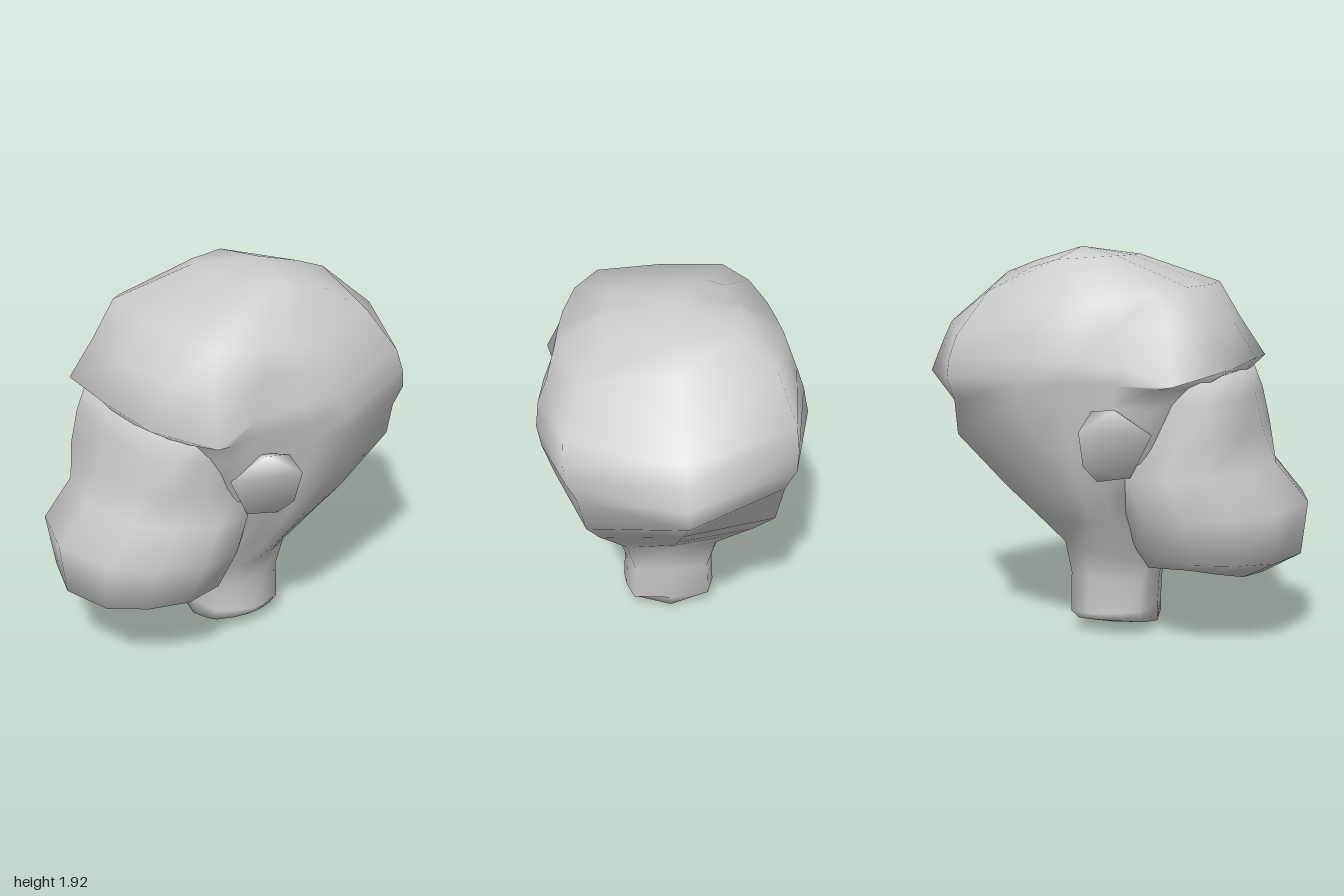
import * as THREE from 'three';
import { mergeVertices } from 'three/addons/utils/BufferGeometryUtils.js';
import { ConvexGeometry } from 'three/addons/geometries/ConvexGeometry.js';

const material = new THREE.MeshStandardMaterial({ color: 0xcccccc });

// Half outlines, front to back: [position along depth, share of half width, height offset]
const NECK_BASE = [[0, 0], [0.04, 0.5, 0.025], [0.1, 0.7, 0.035], [0.3, 0.9, 0.05], [0.5, 1, 0.06], [0.7, 0.97, 0.06], [0.95, 0.85, 0.06], [1, 0]];
const NECK = [[0, 0], [0.04, 0.5], [0.1, 0.7], [0.3, 0.9], [0.5, 1], [0.7, 0.97], [0.94, 0.82], [1, 0]];
const NAPE = [[0, 0], [0.05, 0.55], [0.15, 0.84], [0.28, 0.88], [0.42, 0.95], [0.54, 1], [0.92, 0.76], [1, 0]];
const OCCIPUT = [[0, 0], [0.05, 0.6], [0.15, 0.86], [0.27, 0.84], [0.42, 0.94], [0.54, 1], [0.78, 0.76, -0.06], [1, 0]];
const ORBIT = [[0, 0], [0.05, 0.6], [0.15, 0.87], [0.27, 0.84], [0.42, 0.94], [0.54, 1], [0.81, 0.81, -0.03], [1, 0]];
const BROW = [[0, 0], [0.02, 0.58, -0.02], [0.15, 0.92, -0.09], [0.3, 0.85, -0.03], [0.42, 0.95], [0.54, 1], [0.83, 0.84, -0.03], [1, 0]];
const SKULL = [[0, 0], [0.03, 0.57], [0.13, 0.8], [0.3, 0.87], [0.42, 0.95], [0.54, 1], [0.82, 0.89, -0.03], [1, 0]];
const CROWN = [[0, 0], [0.03, 0.58], [0.13, 0.8, -0.04], [0.3, 0.92, -0.07], [0.42, 0.97, -0.09], [0.54, 1, -0.1], [0.92, 0.83, -0.07], [1, 0]];
const CHIN = [[0, 0], [0.1, 0.57, 0.015], [0.31, 0.85, 0.04], [0.55, 1, 0.06], [0.8, 0.92, 0.05], [1, 0.6, 0.02], [1, 0]];
const MUZZLE = [[0, 0], [0.1, 0.57], [0.31, 0.85], [0.55, 1], [0.8, 0.93], [1, 0.6], [1, 0]];
const FACE = [[0, 0], [0.05, 0.66], [0.2, 0.92], [0.45, 1], [0.8, 0.95], [1, 0.6], [1, 0]];

// Closed skin over mirrored rings: [outline, half width, front z, front y, back z, back y]
function loft(name, rings, bottom, top) {
  const pos = [], index = [];
  for (const [outline, w, zF, yF, zB, yB] of rings) {
    const point = ([t, x, dy = 0], side) =>
      pos.push(side * x * w, yF + (yB - yF) * t + dy, zF + (zB - zF) * t);
    outline.forEach((p) => point(p, 1));
    outline.slice(1, -1).reverse().forEach((p) => point(p, -1));
  }
  const n = pos.length / 3 / rings.length;
  const last = (rings.length - 1) * n;
  const low = rings.length * n, high = low + 1;
  pos.push(0, ...bottom, 0, ...top);
  for (let j = 0; j < n; j++) {
    const k = (j + 1) % n;
    for (let r = 0; r < last; r += n) {
      index.push(r + j, r + k, r + n + k, r + j, r + n + k, r + n + j);
    }
    index.push(low, k, j, last + j, last + k, high);
  }
  const geometry = new THREE.BufferGeometry();
  geometry.setAttribute('position', new THREE.Float32BufferAttribute(pos, 3));
  geometry.setIndex(index);
  geometry.computeVertexNormals();
  const mesh = new THREE.Mesh(geometry, material);
  mesh.name = name;
  return mesh;
}

// Ear: a thin cup flaring outward toward its back rim
function ear(side, name) {
  const rim = [[0.51, 1.07, 0.36], [0.58, 1.19, 0.2], [0.61, 1.185, 0.1], [0.65, 1.09, 0.05],
    [0.6, 0.92, 0.055], [0.53, 0.84, 0.1], [0.49, 0.86, 0.25]];
  const root = [[0.44, 1.15, 0.2], [0.44, 1.05, 0.14], [0.44, 0.86, 0.14]];
  const points = [...rim, ...root].map(([x, y, z]) => new THREE.Vector3(side * x, y, z));
  let geometry = new ConvexGeometry(points);
  geometry.deleteAttribute('normal');
  geometry = mergeVertices(geometry);
  geometry.computeVertexNormals();
  const mesh = new THREE.Mesh(geometry, material);
  mesh.name = name;
  return mesh;
}

export function createModel() {
  const head = new THREE.Group();
  head.name = 'head';

  // Neck with a keeled cut, widening into the cranium, brow ridge and crown
  head.add(loft('skullAndNeck', [
    [NECK_BASE, 0.23, 0.24, 0.03, -0.13, 0.005],
    [NECK, 0.24, 0.24, 0.12, -0.18, 0.1],
    [NECK, 0.23, 0.25, 0.27, -0.18, 0.3],
    [NECK, 0.28, 0.27, 0.38, -0.2, 0.47],
    [NAPE, 0.4, 0.29, 0.6, -0.34, 0.61],
    [NAPE, 0.49, 0.34, 0.76, -0.49, 0.76],
    [NAPE, 0.58, 0.5, 0.96, -0.75, 1.02],
    [OCCIPUT, 0.63, 0.6, 1.17, -1, 1.27],
    [ORBIT, 0.65, 0.64, 1.28, -0.97, 1.34],
    [BROW, 0.635, 0.73, 1.39, -0.93, 1.43],
    [SKULL, 0.59, 0.62, 1.56, -0.88, 1.53],
    [CROWN, 0.54, 0.5, 1.74, -0.56, 1.79],
    [SKULL, 0.33, 0.1, 1.88, -0.4, 1.85],
  ], [0, 0], [1.92, -0.16]));

  // Muzzle and cheeks, rising to the flat eye region under the brow
  head.add(loft('face', [
    [CHIN, 0.32, 0.78, 0.33, 0.25, 0.335],
    [MUZZLE, 0.44, 0.97, 0.44, 0.21, 0.46],
    [MUZZLE, 0.53, 1, 0.7, 0.14, 0.66],
    [MUZZLE, 0.51, 0.84, 0.88, 0.08, 0.84],
    [FACE, 0.48, 0.77, 1.05, 0.1, 1],
    [FACE, 0.47, 0.73, 1.22, 0.1, 1.18],
    [FACE, 0.46, 0.68, 1.34, 0.1, 1.28],
  ], [0.345, 0.52], [1.32, 0.4]));

  head.add(ear(1, 'leftEar'), ear(-1, 'rightEar'));
  return head;
}
